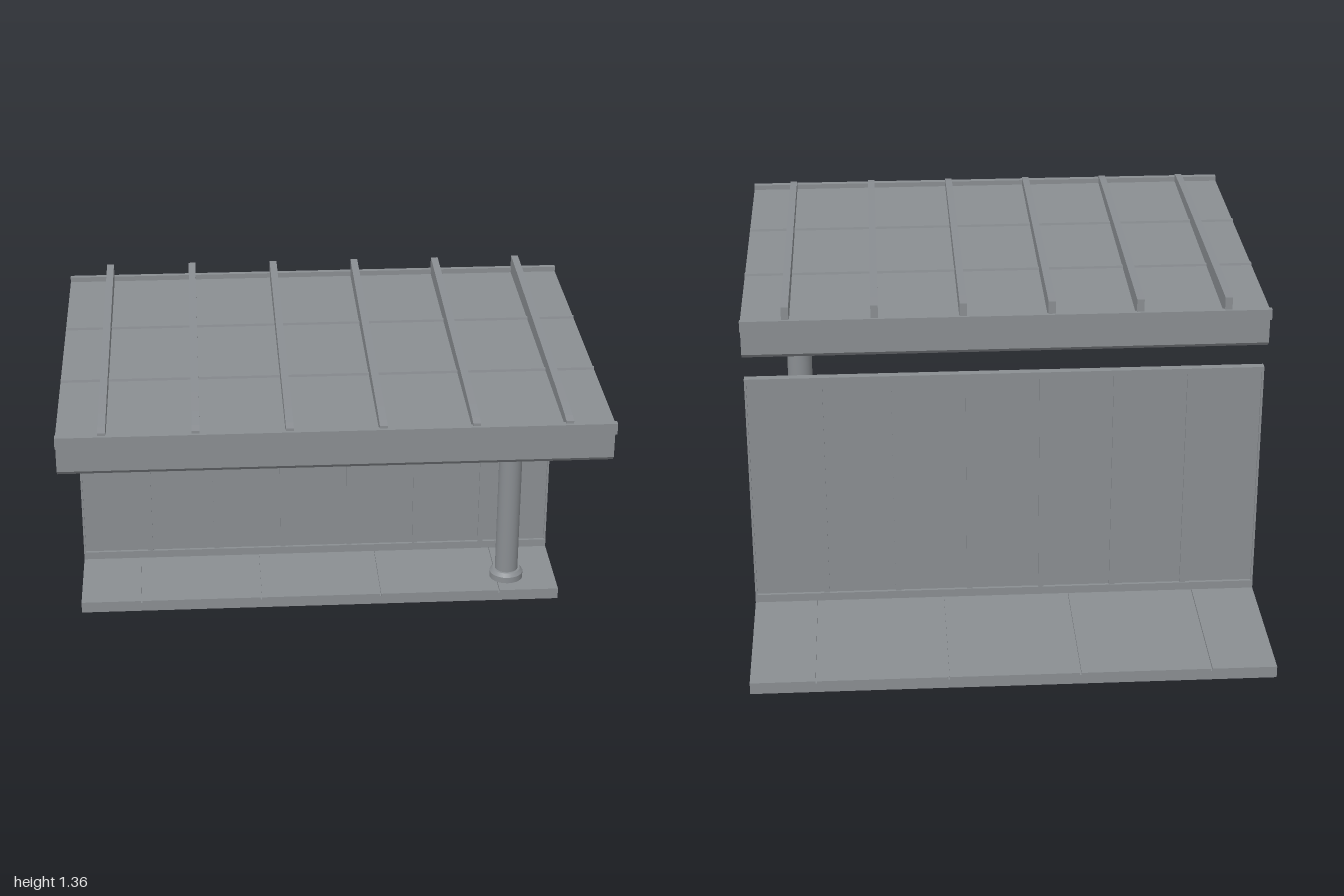
import * as THREE from 'three';

export function createModel() {
  const model = new THREE.Group();
  model.name = 'shelter';
  const grey = new THREE.MeshStandardMaterial({ color: 0x8a8e92 });
  grey.name = 'grey metal';

  const add = (name, geometry, parent) => {
    const mesh = new THREE.Mesh(geometry, grey);
    mesh.name = name;
    parent.add(mesh);
    return mesh;
  };
  // Box given by its limits on each axis
  const box = (name, parent, x0, x1, y0, y1, z0, z1) => {
    const mesh = add(name, new THREE.BoxGeometry(x1 - x0, y1 - y0, z1 - z0), parent);
    mesh.position.set((x0 + x1) / 2, (y0 + y1) / 2, (z0 + z1) / 2);
    return mesh;
  };
  // Side outline of [z, y] points extruded along x
  const sideProfile = (name, parent, points, x0, x1) => {
    const shape = new THREE.Shape(points.map(([z, y]) => new THREE.Vector2(-z, y)));
    const geometry = new THREE.ExtrudeGeometry(shape, { depth: x1 - x0, bevelEnabled: false });
    geometry.rotateY(Math.PI / 2);
    geometry.translate(x0, 0, 0);
    return add(name, geometry, parent);
  };
  const group = (name) => {
    const g = new THREE.Group();
    g.name = name;
    model.add(g);
    return g;
  };

  // Platform: lower bed with separate paving slabs on top
  const platform = group('platform');
  box('platformBed', platform, -1, 1, 0, 0.037, -1, 0);
  const joints = [-1, -0.75, -0.25, 0.25, 0.75, 1];
  const gap = 0.003;
  for (let i = 0; i < joints.length - 1; i++) {
    const x0 = joints[i] + (i > 0 ? gap : 0);
    const x1 = joints[i + 1] - (i < joints.length - 2 ? gap : 0);
    box('pavingSlab', platform, x0, x1, 0.037, 0.047, -1, 0);
  }

  // Back wall: frame with seven recessed panels
  const wall = group('backWall');
  const bays = 7, pitch = 2 / bays, half = 0.011;
  box('bottomRail', wall, -1, 1, 0.047, 0.08, -0.403, -0.367);
  box('topRail', wall, -1, 1, 1.005, 1.027, -0.4, -0.37);
  for (let i = 0; i <= bays; i++) {
    const x = -1 + i * pitch;
    const x0 = i === 0 ? -1 : x - half;
    const x1 = i === bays ? 1 : x + half;
    box('mullion', wall, i === bays ? 0.992 : x0, i === 0 ? -0.992 : x1, 0.08, 1.005, -0.4, -0.37);
  }
  box('wallPanels', wall, -0.992, 0.992, 0.08, 1.005, -0.391, -0.379);

  // Column with moulded foot and cap plate
  const outline = [
    [0, 0.047], [0.07, 0.047], [0.07, 0.073], [0.058, 0.088], [0.048, 0.088],
    [0.048, 1.128], [0.074, 1.128], [0.074, 1.142], [0, 1.142],
  ];
  // Each straight run has its own ring of normals, so edges stay sharp
  const column = group('column');
  column.position.set(0.795, 0, -0.125);
  for (let i = 0; i < outline.length - 1; i++) {
    const run = [outline[i], outline[i + 1]].map(([r, y]) => new THREE.Vector2(r, y));
    add('columnSection', new THREE.LatheGeometry(run, 24), column);
  }

  // Roof body with chamfered lower edges, and the deck over it
  const roof = group('roof');
  sideProfile('roofBody', roof, [
    [0.962, 1.272], [0.962, 1.158], [0.943, 1.14],
    [-0.443, 1.14], [-0.462, 1.158], [-0.462, 1.272],
  ], -1, 1);
  box('roofDeck', roof, -1, 1, 1.27, 1.29, -0.482, 0.975);
  box('frontEdge', roof, -1, 1, 1.268, 1.31, 0.975, 1);
  box('backEdge', roof, -1, 1, 1.268, 1.31, -0.5, -0.48);
  for (const z of [0.487, 0.004]) {
    sideProfile('deckSeam', roof, [
      [z + 0.008, 1.289], [z - 0.008, 1.289], [z - 0.006, 1.299], [z + 0.006, 1.299],
    ], -1, 1);
  }

  // Six ribs rising towards the back
  for (let i = 0; i < 6; i++) {
    const x = -0.835 + i * 0.333;
    sideProfile('roofRib', roof, [
      [0.987, 1.285], [-0.49, 1.285], [-0.49, 1.36], [-0.4, 1.359],
      [0.7, 1.336], [0.85, 1.331], [0.95, 1.325], [0.987, 1.32],
    ], x - 0.014, x + 0.014);
  }

  return model;
}
